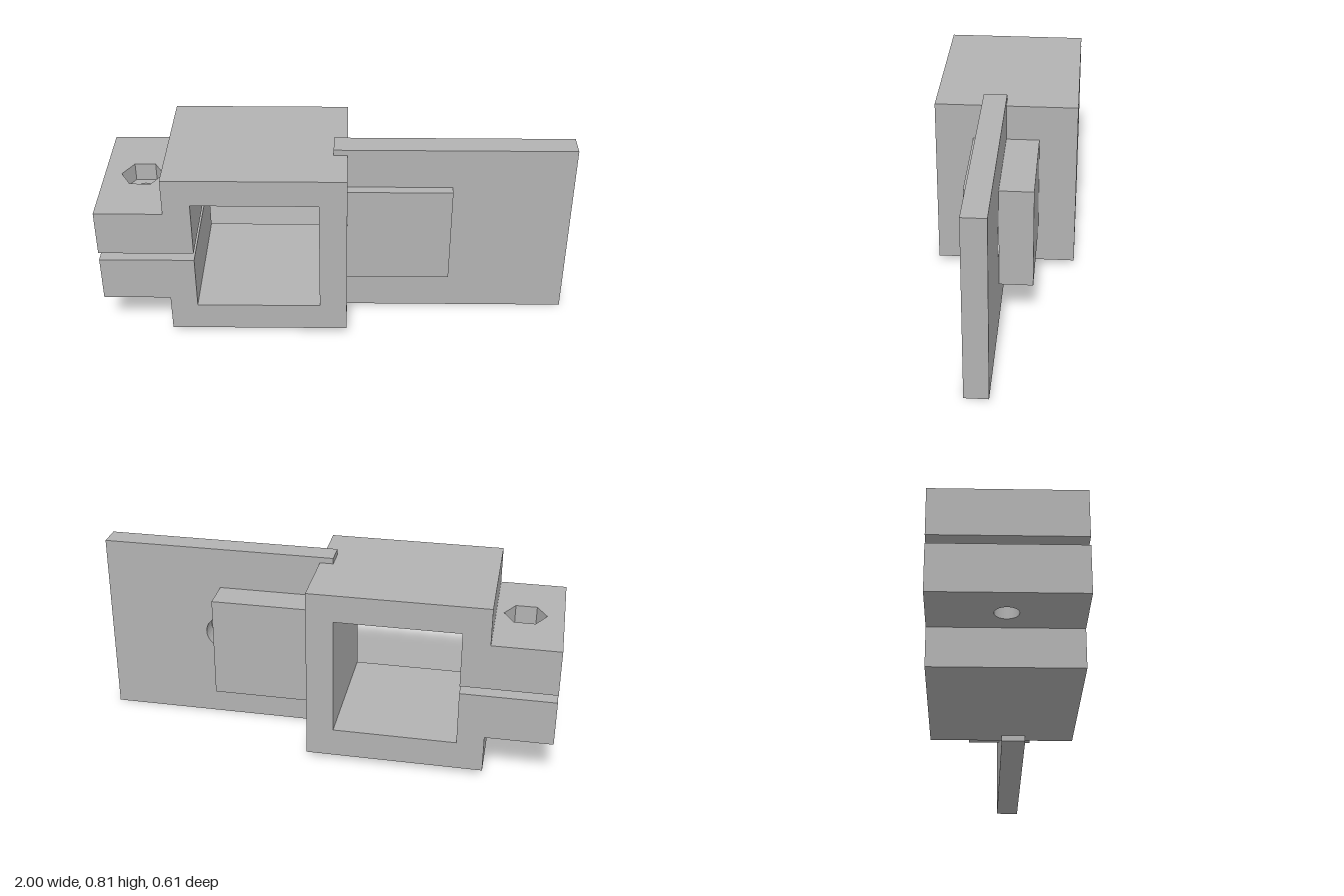
import * as THREE from 'three';

const grey = new THREE.MeshStandardMaterial({ color: 0xb2b2b2 });
grey.name = 'grey';

const polygon = (points) => new THREE.Shape(points.map(([x, y]) => new THREE.Vector2(x, y)));

const rectangle = (x0, x1, y0, y1) => polygon([[x0, y0], [x1, y0], [x1, y1], [x0, y1]]);

// Round or many-sided hole outline
function hole(cx, cy, radius, sides) {
  const points = [];
  for (let i = 0; i < sides; i++) {
    const a = (-i / sides) * Math.PI * 2;
    points.push(new THREE.Vector2(cx + radius * Math.cos(a), cy + radius * Math.sin(a)));
  }
  return new THREE.Path(points);
}

const extrude = (shape, depth) => new THREE.ExtrudeGeometry(shape, { depth, bevelEnabled: false });

export function createModel() {
  const group = new THREE.Group();
  group.name = 'clampBracket';

  function add(name, geometry) {
    const mesh = new THREE.Mesh(geometry, grey);
    mesh.name = name;
    group.add(mesh);
  }

  // Square clamp ring, split on its -x side
  const halfDepth = 0.304;
  const ring = polygon([
    [-0.715, 0.025], [0.043, 0.025], [0.043, 0.787], [-0.715, 0.787],
    [-0.715, 0.425], [-0.6, 0.425], [-0.6, 0.667], [-0.073, 0.667],
    [-0.073, 0.15], [-0.6, 0.15], [-0.6, 0.39], [-0.715, 0.39],
  ]);
  add('clampRing', extrude(ring, halfDepth * 2).translate(0, 0, -halfDepth));

  // Clamp jaws, drilled for a bolt, with a hexagonal nut pocket on top
  function jawLayer(name, y0, y1, radius, sides) {
    const shape = rectangle(-1, -0.715, -halfDepth, halfDepth);
    shape.holes.push(hole(-0.838, 0, radius, sides));
    add(name, extrude(shape, y1 - y0).rotateX(-Math.PI / 2).translate(0, y0, 0));
  }
  jawLayer('lowerJaw', 0.19, 0.39, 0.048, 32);
  jawLayer('upperJaw', 0.425, 0.545, 0.048, 32);
  jawLayer('nutPocket', 0.545, 0.625, 0.09, 6);

  // Thin plate with a shallow round pocket in its back
  const plateBack = rectangle(-0.015, 1, 0, 0.812);
  plateBack.holes.push(hole(0.488, 0.407, 0.073, 32));
  add('plateBack', extrude(plateBack, 0.08));
  add('plateFront', extrude(rectangle(-0.015, 1, 0, 0.812), 0.02).translate(0, 0, 0.08));

  // Joining block on both sides of the plate
  const block = rectangle(0.043, 0.488, 0.185, 0.63);
  add('blockBack', extrude(block, 0.142).translate(0, 0, -0.142));
  add('blockFront', extrude(block, 0.042).translate(0, 0, 0.1));

  return group;
}
